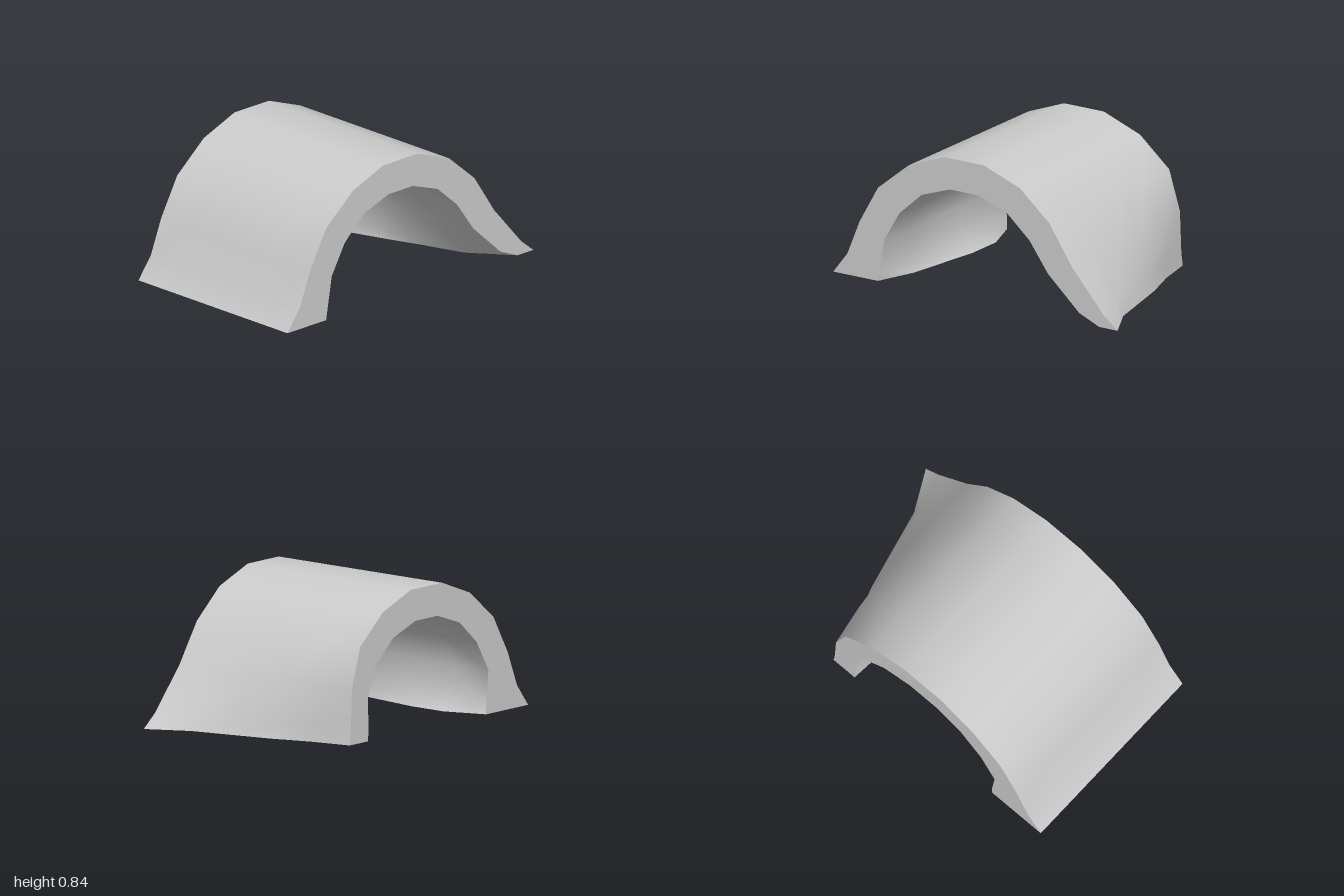
import * as THREE from 'three';

// Stations along x; the tables below give z at each station
const xs = [-0.62, -0.37, -0.13, 0.12, 0.37, 0.62];

// Arch profiles as [z or z-per-station, y], from the front foot over the top to the back foot
const outerProfile = [
  [1, 0], [0.9, 0.13], [0.815, 0.34], [0.685, 0.57], [0.47, 0.745], [0.22, 0.84],
  [-0.06, 0.84], [-0.315, 0.745], [-0.52, 0.57],
  [[-0.595, -0.64, -0.665, -0.675, -0.68, -0.68], 0.33],
  [[-0.605, -0.66, -0.72, -0.78, -0.83, -0.9], 0.08],
  [[-0.615, -0.67, -0.75, -0.81, -0.87, -1], 0],
];
const innerProfile = [
  [[0.62, 0.53, 0.53, 0.565, 0.6, 0.685], 0],
  [[0.62, 0.57, 0.58, 0.6, 0.63, 0.675], 0.06],
  [0.64, 0.26], [0.535, 0.44], [0.38, 0.58], [0.18, 0.65],
  [-0.02, 0.65], [-0.22, 0.58], [-0.38, 0.44],
  [[-0.45, -0.45, -0.46, -0.475, -0.49, -0.51], 0.26],
  [[-0.445, -0.445, -0.5, -0.56, -0.62, -0.73], 0.06],
  [[-0.45, -0.43, -0.51, -0.6, -0.68, -0.87], 0],
];

// One row of points per station
const sections = (profile) => xs.map((x, i) =>
  profile.map(([z, y]) => [x, y, Array.isArray(z) ? z[i] : z]));

// Surface through rows of points; flip turns it to face the other way
function surface(name, rows, flip = false) {
  const n = rows[0].length;
  const index = [];
  for (let i = 0; i < rows.length - 1; i++) {
    for (let j = 0; j < n - 1; j++) {
      const a = i * n + j, b = a + n, c = b + 1, d = a + 1;
      index.push(...(flip ? [a, c, b, a, d, c] : [a, b, c, a, c, d]));
    }
  }
  const geometry = new THREE.BufferGeometry();
  geometry.setAttribute('position', new THREE.Float32BufferAttribute(rows.flat(2), 3));
  geometry.setIndex(index);
  geometry.computeVertexNormals();
  const mesh = new THREE.Mesh(geometry, new THREE.MeshStandardMaterial({ color: 0xcccccc }));
  mesh.name = name;
  return mesh;
}

export function createModel() {
  const group = new THREE.Group();
  group.name = 'archedTunnel';
  const outer = sections(outerProfile);
  const inner = sections(innerProfile);
  const last = xs.length - 1;
  const end = outerProfile.length - 1;

  // Curved shell, outside and inside
  group.add(surface('outerShell', outer));
  group.add(surface('innerVault', inner, true));

  // Flat end walls
  group.add(surface('leftEndWall', [outer[last], inner[last]]));
  group.add(surface('rightEndWall', [outer[0], inner[0]], true));

  // Flat undersides of the two feet
  const foot = (k) => xs.map((x, i) => [outer[i][k], inner[i][k]]);
  group.add(surface('frontFoot', foot(0), true));
  group.add(surface('backFoot', foot(end)));
  return group;
}
